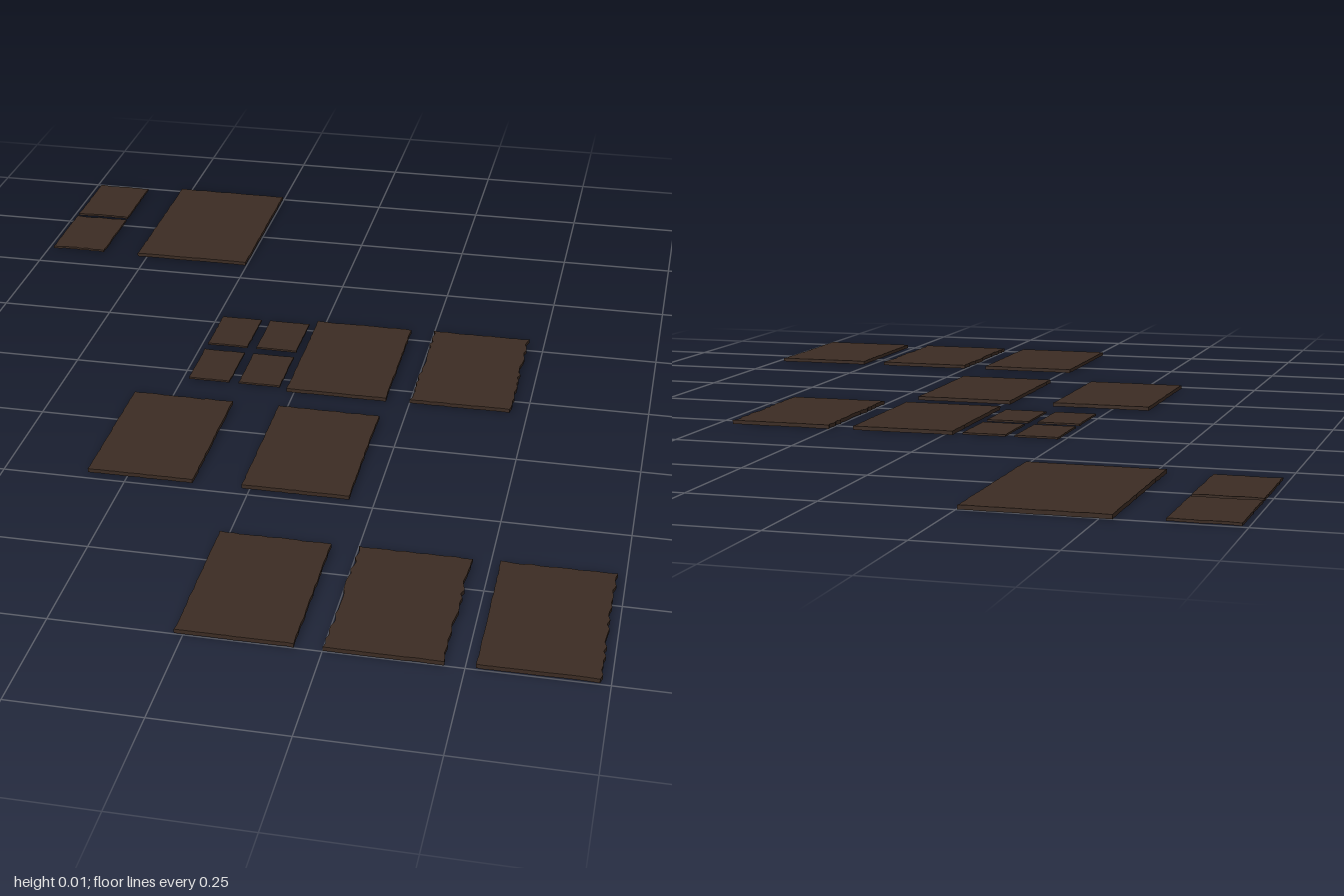
import * as THREE from 'three';

// Small seeded generator for the torn edges
function makeRandom(seed) {
  let s = seed;
  return () => {
    s = (s * 16807) % 2147483647;
    return s / 2147483647;
  };
}

// A thin sheet of w by d; the amount of fraying is given for each edge
function sheetGeometry(w, d, thickness, fray, rand) {
  const corners = [[-w / 2, -d / 2], [w / 2, -d / 2], [w / 2, d / 2], [-w / 2, d / 2]];
  const points = [];
  corners.forEach(([x0, y0], e) => {
    const [x1, y1] = corners[(e + 1) % 4];
    const length = Math.hypot(x1 - x0, y1 - y0);
    const steps = Math.max(6, Math.round(length / 0.014));
    const nx = -(y1 - y0) / length, ny = (x1 - x0) / length; // inward
    for (let i = 0; i < steps; i++) {
      const t = i / steps;
      const inset = fray[e] * rand();
      points.push(new THREE.Vector2(x0 + (x1 - x0) * t + nx * inset, y0 + (y1 - y0) * t + ny * inset));
    }
  });
  const geometry = new THREE.ExtrudeGeometry(new THREE.Shape(points), { depth: thickness, bevelEnabled: false });
  return geometry.rotateX(-Math.PI / 2);
}

export function createModel() {
  const group = new THREE.Group();
  group.name = 'looseSheets';
  const darkBrown = new THREE.MeshStandardMaterial({ color: 0x3c2c23 });
  darkBrown.name = 'darkBrown';
  const rand = makeRandom(71);

  const fine = 0.002, torn = 0.007;
  const clean = [fine, fine, 0.004, fine];      // front, right, back, left
  const tornBoth = [fine, torn, 0.004, torn];
  const tornRight = [fine, torn, 0.004, fine];

  function addSheet(name, x0, x1, z0, z1, thickness, fray) {
    const mesh = new THREE.Mesh(sheetGeometry(x1 - x0, z1 - z0, thickness, fray, rand), darkBrown);
    mesh.name = name;
    mesh.position.set((x0 + x1) / 2, 0, (z0 + z1) / 2);
    group.add(mesh);
  }

  // Large sheet and the two half sheets beside it
  addSheet('largeSheet', -0.523, -0.252, -1, -0.573, 0.008, clean);
  for (const z of [-0.99, -0.778]) {
    addSheet('halfSheet', -0.739, -0.61, z, z + 0.199, 0.005, [0.005, fine, 0.005, fine]);
  }

  // Four small cards
  for (const x of [-0.237, -0.126]) {
    for (const z of [-0.276, -0.104]) {
      addSheet('smallCard', x, x + 0.092, z, z + 0.143, 0.004, [fine, fine, fine, fine]);
    }
  }

  // Standard sheets in three rows
  const standard = [
    [-0.017, -0.287, clean], [0.25, -0.29, tornBoth],
    [-0.332, 0.135, clean], [-0.017, 0.135, clean],
    [-0.017, 0.656, clean], [0.25, 0.656, tornBoth], [0.518, 0.653, tornRight],
  ];
  for (const [x, z, fray] of standard) {
    addSheet('standardSheet', x, x + 0.217, z, z + 0.343, 0.008, fray);
  }
  return group;
}
